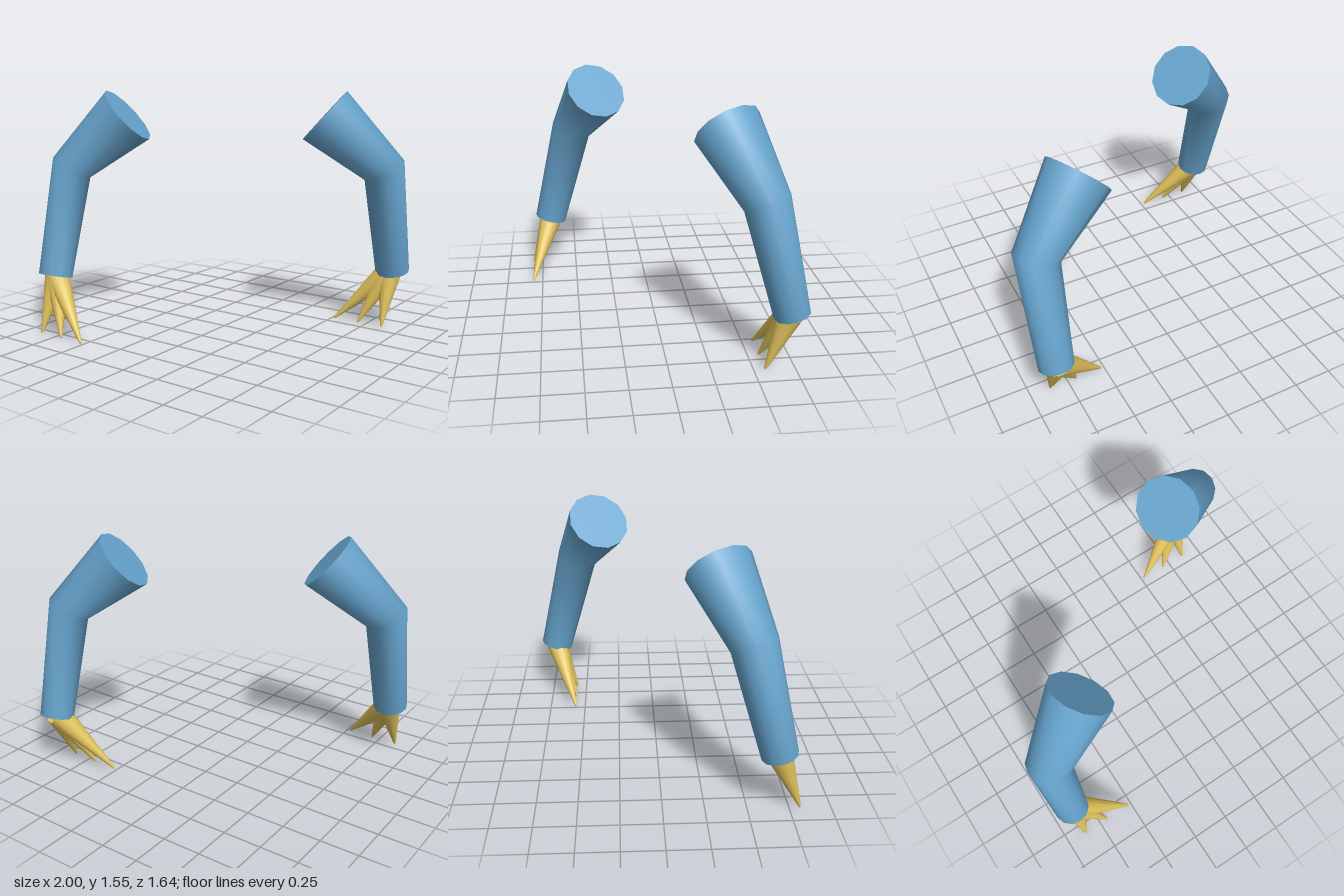
import * as THREE from 'three';

const SIDES = 12;
const v = (x, y, z) => new THREE.Vector3(x, y, z);

// Smooth tube through rings of {p: centre, r: radius}, mitred at bends, with flat end caps
function limbGeometry(rings) {
  const n = rings.length, pos = [], idx = [];
  const dirs = rings.slice(1).map((k, i) => k.p.clone().sub(rings[i].p).normalize());
  let normal = dirs[0].clone();
  let u = v(0, 1, 0).addScaledVector(normal, -normal.y).normalize();
  const loops = rings.map(({ p, r }, i) => {
    const next = dirs[Math.max(i - 1, 0)].clone().add(dirs[Math.min(i, n - 2)]).normalize();
    u = u.clone().applyQuaternion(new THREE.Quaternion().setFromUnitVectors(normal, next));
    normal = next;
    const w = normal.clone().cross(u);
    return Array.from({ length: SIDES }, (_, j) => {
      const a = (j / SIDES) * Math.PI * 2;
      return p.clone().addScaledVector(u, r * Math.cos(a)).addScaledVector(w, r * Math.sin(a));
    });
  });
  const addLoop = (loop) => {
    const start = pos.length / 3;
    loop.forEach((q) => pos.push(q.x, q.y, q.z));
    return start;
  };
  // Side wall
  loops.forEach(addLoop);
  for (let i = 0; i < n - 1; i++) {
    for (let j = 0; j < SIDES; j++) {
      const k = (j + 1) % SIDES;
      const a = i * SIDES + j, b = i * SIDES + k, c = a + SIDES, d = b + SIDES;
      idx.push(a, b, c, b, d, c);
    }
  }
  // End caps on their own vertices, so the rims stay sharp
  const s = addLoop(loops[0]), e = addLoop(loops[n - 1]);
  for (let j = 1; j < SIDES - 1; j++) {
    idx.push(s, s + j + 1, s + j);
    idx.push(e, e + j, e + j + 1);
  }
  const g = new THREE.BufferGeometry();
  g.setAttribute('position', new THREE.Float32BufferAttribute(pos, 3));
  g.setIndex(idx);
  g.computeVertexNormals();
  return g;
}

export function createModel() {
  const blue = new THREE.MeshStandardMaterial({ name: 'blue', color: 0x66a3cc });
  const yellow = new THREE.MeshStandardMaterial({ name: 'yellow', color: 0xdfc15a });
  const model = new THREE.Group();
  model.name = 'clawedArms';

  // Shoulder, elbow and wrist
  const armGeometry = limbGeometry([
    { p: v(-0.525, 1.395, 0.33), r: 0.207 },
    { p: v(-0.87, 1.05, 0.5), r: 0.139 },
    { p: v(-0.87, 0.358, 0.677), r: 0.111 },
  ]);

  for (const side of [-1, 1]) {
    const name = side < 0 ? 'right' : 'left';
    const group = new THREE.Group();
    group.name = name + 'Arm';

    // The left arm is the right one turned half round
    const arm = new THREE.Mesh(armGeometry, blue);
    arm.name = name + 'Sleeve';
    if (side > 0) {
      arm.rotation.y = Math.PI;
      arm.position.z = -0.035;
    }
    group.add(arm);

    // Three claws fan inward from the wrist, all reaching forward
    const baseZ = side < 0 ? 0.675 : -0.708;
    [0.868, 0.695, 0.522].forEach((tipX, i) => {
      const claw = new THREE.Mesh(limbGeometry([
        { p: v(side * 0.857, 0.36, baseZ), r: 0.08 },
        { p: v(side * tipX, 0.004, baseZ + 0.14), r: 0.007 },
      ]), yellow);
      claw.name = name + 'Claw' + (i + 1);
      group.add(claw);
    });
    model.add(group);
  }
  return model;
}
